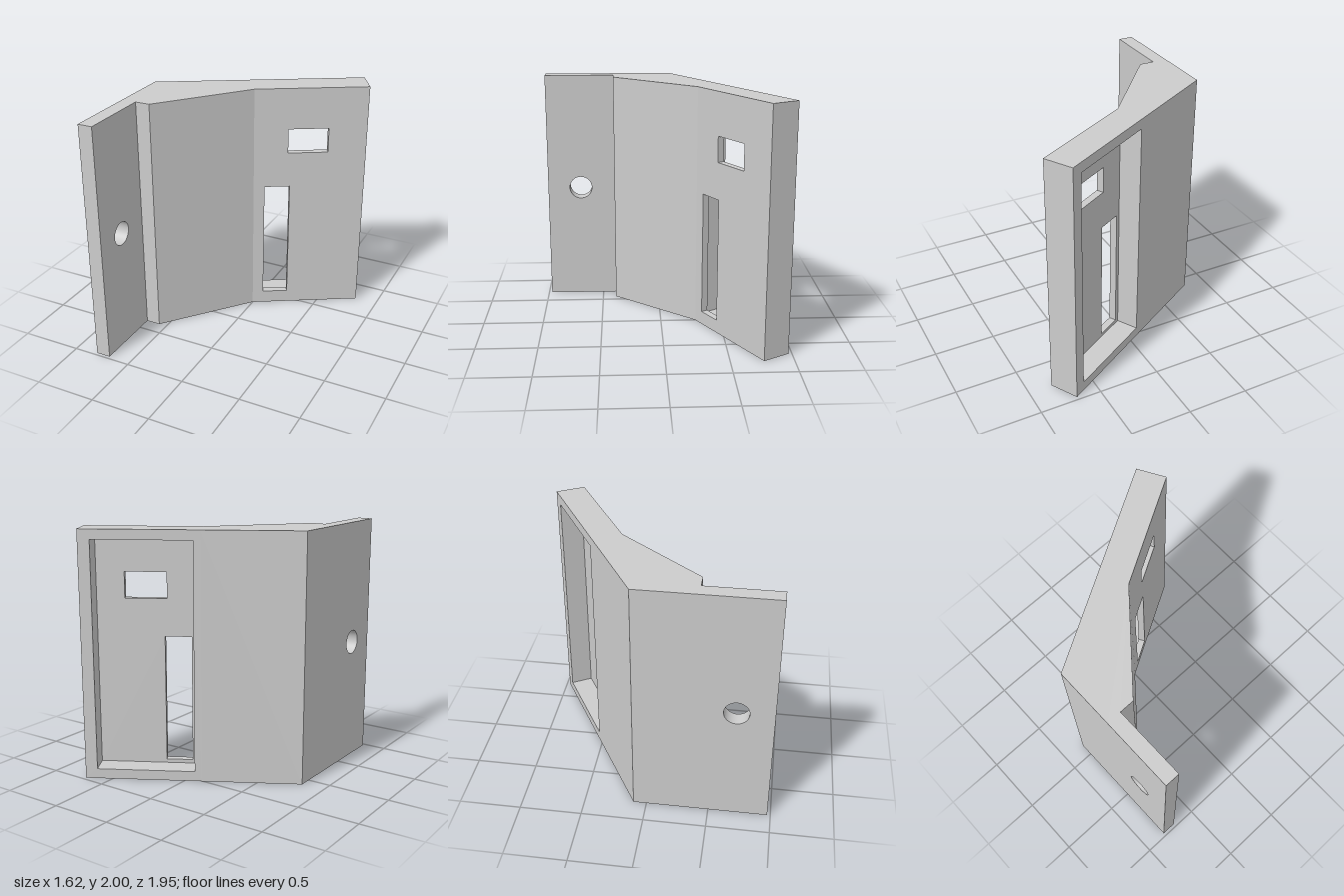
import * as THREE from 'three';

const HEIGHT = 2;
const ANGLE = Math.PI / 6;             // slant of the panel in plan
const CORNER = [-0.81, -0.106];        // back corner in plan (x, z)
const LENGTH = 1.732, THICK = 0.242;   // panel length and thickness
const BEND = 0.796;                    // where the wedge meets the panel
const RECESS_FLOOR = 0.184;            // recess depth from the back
const STEP = 0.384;                    // z where the flange leaves the wedge
const BOLT = { y: 1, z: 0.685, r: 0.098 };

const rect = (x0, y0, x1, y1, Type = THREE.Shape) =>
  new Type([[x0, y0], [x1, y0], [x1, y1], [x0, y1]].map(p => new THREE.Vector2(...p)));

// plan position of a point on the panel: u along it, w through it
const plan = (u, w) => [
  CORNER[0] + u * Math.cos(ANGLE) + w * Math.sin(ANGLE),
  CORNER[1] - u * Math.sin(ANGLE) + w * Math.cos(ANGLE),
];

const extrude = (shape, depth) =>
  new THREE.ExtrudeGeometry(shape, { depth, bevelEnabled: false, curveSegments: 24 });

// removes hidden joint faces: triangles whose three corners all pass one of the tests
function dropFaces(geometry, ...tests) {
  const p = geometry.attributes.position, kept = [];
  for (let i = 0; i < p.count; i += 3) {
    const tri = [0, 1, 2].map(k => new THREE.Vector3().fromBufferAttribute(p, i + k));
    if (!tests.some(test => tri.every(test))) tri.forEach(v => kept.push(v.x, v.y, v.z));
  }
  const result = new THREE.BufferGeometry();
  result.setAttribute('position', new THREE.Float32BufferAttribute(kept, 3));
  result.computeVertexNormals();
  return result;
}

const near = (a, b) => Math.abs(a - b) < 1e-4;

export function createModel() {
  const grey = new THREE.MeshStandardMaterial({ color: 0xcccccc });
  grey.name = 'grey';
  const model = new THREE.Group();
  model.name = 'angledBracket';

  const add = (parent, name, geometry) => {
    const mesh = new THREE.Mesh(geometry, grey);
    mesh.name = name;
    parent.add(mesh);
    return mesh;
  };

  // wedge between the side flange and the slanted panel
  const outline = [
    CORNER, plan(BEND, 0), plan(BEND, THICK),
    [-0.57, STEP], [-0.69, STEP], [-0.81, STEP],
  ];
  const wedge = extrude(new THREE.Shape(outline.map(([x, z]) => new THREE.Vector2(x, -z))), HEIGHT);
  wedge.rotateX(-Math.PI / 2);
  const seam = plan(BEND, 0);
  add(model, 'wedge', dropFaces(wedge,
    v => near(v.z, STEP) && v.x < -0.6899,
    v => near((v.x - seam[0]) * Math.cos(ANGLE) - (v.z - seam[1]) * Math.sin(ANGLE), 0)));

  // side flange with a round bolt hole
  const flangeShape = rect(-0.974, 0, -STEP, HEIGHT);
  flangeShape.holes.push(new THREE.Path().absarc(-BOLT.z, BOLT.y, BOLT.r, 0, Math.PI * 2, true));
  const flange = extrude(flangeShape, 0.12);
  flange.rotateY(Math.PI / 2).translate(-0.81, 0, 0);
  const flangeMesh = add(model, 'flange', dropFaces(flange, v => near(v.z, STEP)));
  // smooth bore: radial normals inside the hole
  const { position, normal } = flangeMesh.geometry.attributes;
  for (let i = 0; i < position.count; i++) {
    const dy = position.getY(i) - BOLT.y, dz = position.getZ(i) - BOLT.z, r = Math.hypot(dy, dz);
    if (near(r, BOLT.r) && Math.abs(normal.getX(i)) < 0.5) normal.setXYZ(i, 0, -dy / r, -dz / r);
  }

  // slanted panel, built flat and turned into place
  const panel = new THREE.Group();
  panel.name = 'panel';
  panel.position.set(CORNER[0], 0, CORNER[1]);
  panel.rotation.y = ANGLE;
  model.add(panel);

  const recess = [0.852, 0.08, 1.637, 1.92];
  const frameShape = rect(BEND, 0, LENGTH, HEIGHT);
  frameShape.holes.push(rect(...recess, THREE.Path));
  add(panel, 'panelFrame', dropFaces(extrude(frameShape, THICK), v => near(v.x, BEND)));

  // thin front sheet behind the recess, cut by two windows
  const sheetShape = rect(...recess);
  sheetShape.holes.push(
    rect(0.888, 0.11, 1.1, 1.137, THREE.Path),
    rect(1.08, 1.44, 1.413, 1.65, THREE.Path),
  );
  const sheet = extrude(sheetShape, THICK - RECESS_FLOOR);
  sheet.translate(0, 0, RECESS_FLOOR);
  const [u0, y0, u1, y1] = recess;
  add(panel, 'windowSheet', dropFaces(sheet,
    v => near(v.x, u0), v => near(v.x, u1), v => near(v.y, y0), v => near(v.y, y1)));

  return model;
}
